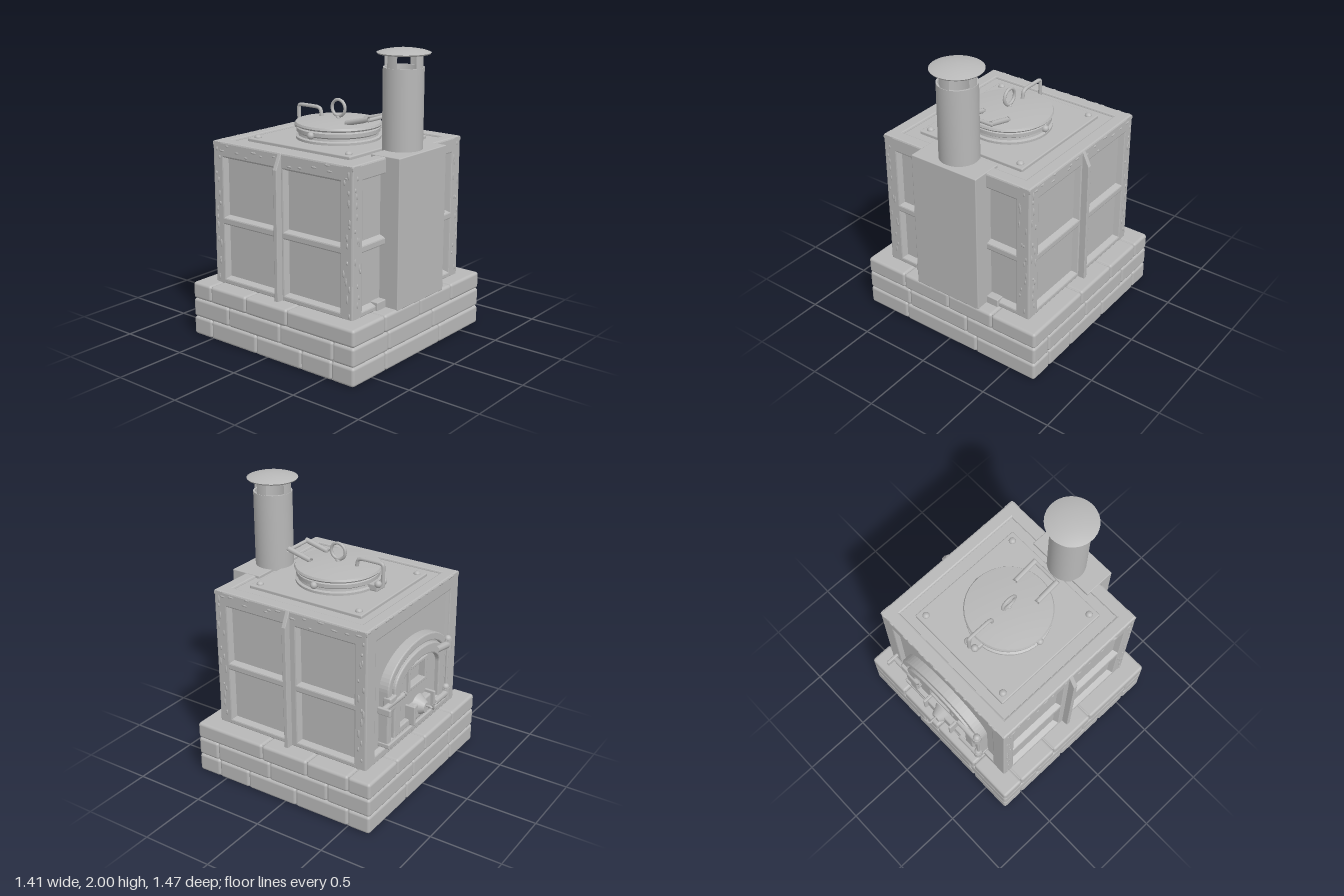
import * as THREE from 'three';
import { RoundedBoxGeometry } from 'three/addons/geometries/RoundedBoxGeometry.js';
import { toCreasedNormals } from 'three/addons/utils/BufferGeometryUtils.js';

const V = (x, y, z) => new THREE.Vector3(x, y, z);

export function createModel() {
  const model = new THREE.Group();
  model.name = 'stove';
  const grey = new THREE.MeshStandardMaterial({ color: 0xb8b8b8, side: THREE.DoubleSide });
  grey.name = 'plain grey';

  let seed = 7;
  const rand = () => (seed = (seed * 16807) % 2147483647) / 2147483647;

  const add = (name, geo, x = 0, y = 0, z = 0, parent = model) => {
    const m = new THREE.Mesh(geo, grey);
    m.name = name;
    m.position.set(x, y, z);
    parent.add(m);
    return m;
  };
  // box given by its limits, with optional rounded edges
  const box = (name, x0, x1, y0, y1, z0, z1, r = 0, parent = model) => {
    const s = [x1 - x0, y1 - y0, z1 - z0];
    const g = r ? new RoundedBoxGeometry(...s, 2, r) : new THREE.BoxGeometry(...s);
    return add(name, g, (x0 + x1) / 2, (y0 + y1) / 2, (z0 + z1) / 2, parent);
  };
  const ball = (name, r, x, y, z, parent) => add(name, new THREE.SphereGeometry(r, 12, 8), x, y, z, parent);
  const rod = (name, pts, r, parent) => {
    const curve = new THREE.CatmullRomCurve3(pts.map(p => V(...p)), false, 'catmullrom', 0.2);
    return add(name, new THREE.TubeGeometry(curve, pts.length * 6, r, 8), 0, 0, 0, parent);
  };
  const lathe = (name, pts, x, z) => add(name, toCreasedNormals(
    new THREE.LatheGeometry(pts.map(p => new THREE.Vector2(...p)), 40), 0.7), x, 0, z);
  const rect = (T, x0, x1, y0, y1) => {
    const s = new T();
    s.moveTo(x0, y0); s.lineTo(x1, y0); s.lineTo(x1, y1); s.lineTo(x0, y1); s.closePath();
    return s;
  };
  const extrude = (shape, depth, b = 0.012) => new THREE.ExtrudeGeometry(shape, {
    depth: depth - 2 * b, curveSegments: 16, bevelEnabled: true, bevelThickness: b,
    bevelSize: b, bevelOffset: -b, bevelSegments: 2 }).translate(0, 0, b);
  // sunken panel: sloping walls from the outer rectangle down to a smaller flat floor
  const pan = ([a0, a1, b0, b1], inset, top, depth) => {
    const z = top - depth, n = inset;
    const g = new THREE.BufferGeometry();
    g.setAttribute('position', new THREE.Float32BufferAttribute([
      a0, b0, top, a1, b0, top, a1, b1, top, a0, b1, top,
      a0 + n, b0 + n, z, a1 - n, b0 + n, z, a1 - n, b1 - n, z, a0 + n, b1 - n, z], 3));
    const index = [4, 5, 6, 4, 6, 7];
    for (let i = 0; i < 4; i++) {
      const j = (i + 1) % 4;
      index.push(i, j, 4 + j, i, 4 + j, 4 + i);
    }
    g.setIndex(index);
    return toCreasedNormals(g, 0.5);
  };

  // ---- brick plinth: three staggered courses round a solid core
  const plinth = new THREE.Group();
  plinth.name = 'brickPlinth';
  model.add(plinth);
  box('plinthCore', -0.685, 0.685, 0, 0.368, -0.65, 0.71, 0, plinth);
  const courses = [
    { y0: 0, y1: 0.129, cuts: [-0.704, -0.37, 0.23, 0.704], side: [-0.667, -0.5, -0.09, 0.3, 0.55, 0.727] },
    { y0: 0.129, y1: 0.259, cuts: [-0.704, -0.57, -0.34, 0.15, 0.54, 0.704], side: [-0.667, -0.34, 0.12, 0.56, 0.727] },
    { y0: 0.259, y1: 0.376, cuts: [-0.704, -0.38, 0, 0.36, 0.704], side: [-0.667, -0.5, -0.18, 0.18, 0.6, 0.727] },
  ];
  for (const { y0, y1, cuts, side } of courses) {
    for (let i = 1; i < cuts.length; i++)
      for (const [z0, z1] of [[-0.667, -0.5], [0.56, 0.727]])
        box('brick', cuts[i - 1], cuts[i], y0, y1, z0, z1, 0.02, plinth);
    for (let i = 1; i < side.length; i++)
      for (const [x0, x1] of [[-0.704, -0.5], [0.5, 0.704]])
        box('brick', x0, x1, y0, y1, side[i - 1], side[i], 0.02, plinth);
  }

  // ---- body: inner core with frames and sunken panels on every side
  box('bodyCore', -0.52, 0.52, 0.36, 1.34, -0.52, 0.56);
  const side = (name, u0, u1, cols, rows, turn, x, z, depth, sink) => {
    const g = new THREE.Group();
    g.name = name;
    g.position.set(x, 0, z);
    g.rotation.y = turn;
    model.add(g);
    const s = rect(THREE.Shape, u0, u1, 0.37, 1.35);
    for (const c of cols) for (const r of rows) {
      s.holes.push(rect(THREE.Path, ...c, ...r));
      add('panel', pan([...c, ...r], 0.012, depth - 0.01, sink - 0.01), 0, 0, 0, g);
    }
    add('frame', extrude(s, depth, 0.01), 0, 0, 0, g);
  };
  const rows = [[0.41, 0.79], [0.84, 1.25]];
  side('leftSide', -0.62, 0.56, [[-0.52, -0.06], [0.03, 0.47]], rows, Math.PI / 2, 0.5, 0, 0.082, 0.04);
  side('rightSide', -0.56, 0.62, [[-0.47, -0.03], [0.06, 0.52]], rows, -Math.PI / 2, -0.5, 0, 0.082, 0.04);
  side('frontSide', -0.582, 0.582, [[-0.48, -0.24], [0.24, 0.48]], rows, 0, 0, 0.54, 0.08, 0.04);
  side('doorSide', -0.582, 0.582, [[-0.47, 0.47]], [[0.43, 1.25]], Math.PI, 0, -0.48, 0.08, 0.03);

  // upright fins in the middle of the two sides
  const fin = new THREE.Shape([[0.5, 0.37], [0.63, 0.37], [0.63, 1.25], [0.582, 1.35], [0.5, 1.35]]
    .map(p => new THREE.Vector2(...p)));
  for (const turn of [0, Math.PI]) {
    const m = add('sideFin', extrude(fin, 0.03, 0.004), 0, 0, turn ? 0.045 : 0.015);
    m.rotation.y = turn;
  }

  // top rim, raised plate and bolts
  const rim = rect(THREE.Shape, -0.582, 0.582, -0.62, 0.56);
  rim.holes.push(rect(THREE.Path, -0.49, 0.49, -0.53, 0.47));
  add('topRim', extrude(rim, 0.04), 0, 1.315, 0).rotation.x = -Math.PI / 2;
  box('topPlate', -0.41, 0.41, 1.32, 1.362, -0.41, 0.46, 0.008);
  for (const x of [-0.36, 0.36]) for (const z of [-0.36, 0.41])
    add('plateBolt', new THREE.SphereGeometry(0.025, 10, 6), x, 1.362, z).scale.y = 0.8;

  // rough weld beads along the frame edges
  const beads = new THREE.Group();
  beads.name = 'weldBeads';
  model.add(beads);
  const bead = (x, y, z, axis) => {
    const m = add('weldBead', new THREE.SphereGeometry(0.009, 6, 4), x, y, z, beads);
    m.scale[axis] = 1.5 + rand() * 2.5;
  };
  for (let i = 0; i < 14; i++) {
    const t = () => (i + rand()) / 14;
    for (const s of [-1, 1]) {
      bead(s * 0.58, 0.4 + t() * 0.92, 0.55 + rand() * 0.05, 'y');
      bead(s * 0.58, 0.4 + t() * 0.92, -0.5 - rand() * 0.04, 'y');
      bead(s * 0.578, 1.27 + rand() * 0.07, -0.54 + t() * 1.14, 'z');
      bead(s * (0.5 + rand() * 0.06), 0.42 + t() * 0.9, 0.616, 'y');
    }
    bead(-0.56 + t() * 1.12, 1.345, -0.557, 'x');
  }

  // ---- flue column and chimney
  box('flueColumn', -0.255, 0.255, 0.37, 1.36, 0.5, 0.725, 0.006);
  for (const s of [-1, 1]) box('columnFoot', s * 0.3 - 0.045, s * 0.3 + 0.045, 0.37, 0.43, 0.57, 0.635, 0.006);
  lathe('chimneyPipe', [[0.131, 1.35], [0.131, 1.88], [0.118, 1.88], [0.118, 1.6], [0, 1.6]], 0, 0.56);
  for (let i = 0; i < 4; i++)
    add('capPost', new THREE.CylinderGeometry(0.128, 0.128, 0.1, 6, 1, true, i * Math.PI / 2 - 0.3, 0.6), 0, 1.925, 0.56);
  lathe('chimneyCap', [[0, 1.965], [0.165, 1.963], [0.172, 1.972], [0.14, 1.983], [0.08, 1.994], [0, 2]], 0, 0.56);

  // ---- round lid with ring, hinge arms and clamp
  const lz = 0.035;
  lathe('lidSeat', [[0.285, 1.35], [0.285, 1.378], [0.268, 1.385], [0.265, 1.4], [0.28, 1.41], [0.28, 1.435], [0.265, 1.445], [0, 1.445]], 0, lz);
  lathe('lid', [[0.26, 1.445], [0.285, 1.448], [0.292, 1.458], [0.285, 1.472], [0.2, 1.482], [0.1, 1.488], [0, 1.49]], 0, lz);
  for (const x of [-0.285, 0.285]) ball('lidLug', 0.024, x, 1.415, lz);
  add('liftRing', new THREE.TorusGeometry(0.055, 0.011, 8, 28), 0, 1.558, lz).rotation.y = Math.PI / 2;
  ball('ringBoss', 0.018, 0, 1.49, lz);
  rod('clampBar', [[0, 1.48, -0.11], [0, 1.53, -0.12], [0, 1.543, -0.15], [0, 1.543, -0.29], [0, 1.53, -0.312], [0, 1.4, -0.312]], 0.013);
  for (const x of [-0.032, 0.032]) ball('clampLug', 0.025, x, 1.41, -0.295);
  box('clampBlock', -0.05, 0.05, 1.36, 1.41, -0.3, -0.23, 0.01);
  for (const x of [-0.1, 0.1]) rod('lidArm', [[x, 1.488, 0.18], [x, 1.535, 0.365]], 0.018);
  rod('lidArmHandle', [[-0.115, 1.528, 0.36], [0.115, 1.528, 0.36]], 0.013);

  // ---- arched fire door
  const door = new THREE.Group();
  door.name = 'fireDoor';
  model.add(door);
  const arch = (T, w, y0, spring, top) => {
    const s = new T();
    s.moveTo(-w, y0); s.lineTo(w, y0); s.lineTo(w, spring);
    s.absellipse(0, spring, w, top - spring, 0, Math.PI, false, 0);
    s.closePath();
    return s;
  };
  const archRing = (name, outer, inner, z0, z1) => {
    const s = arch(THREE.Shape, ...outer);
    s.holes.push(arch(THREE.Path, ...inner));
    add(name, extrude(s, z1 - z0, 0.008), 0, 0, z0, door);
  };
  archRing('doorSurround', [0.385, 0.46, 0.86, 1.09], [0.335, 0.5, 0.85, 1.035], -0.6, -0.52);
  const leaf = arch(THREE.Shape, 0.34, 0.5, 0.85, 1.04);
  leaf.holes.push(rect(THREE.Path, -0.085, 0.105, 0.775, 0.905));
  add('doorLeaf', extrude(leaf, 0.05, 0.006), 0, 0, -0.582, door);
  box('windowBack', -0.1, 0.12, 0.76, 0.92, -0.55, -0.54, 0, door);
  archRing('doorBand', [0.325, 0.51, 0.85, 1.025], [0.25, 0.56, 0.82, 0.955], -0.614, -0.57);
  const pane = rect(THREE.Shape, -0.11, 0.13, 0.75, 0.93);
  pane.holes.push(rect(THREE.Path, -0.085, 0.105, 0.775, 0.905));
  add('windowFrame', extrude(pane, 0.03, 0.005), 0, 0, -0.6, door);
  box('doorSill', -0.39, 0.39, 0.455, 0.49, -0.615, -0.52, 0.008, door);

  // air vent with hooked knob
  box('airVent', -0.13, 0.13, 0.53, 0.64, -0.63, -0.57, 0.015, door);
  for (const x of [-0.13, 0.13]) box('ventCheek', x - 0.01, x + 0.01, 0.52, 0.66, -0.655, -0.57, 0.006, door);
  add('ventBoss', new THREE.CylinderGeometry(0.035, 0.08, 0.07, 20), 0, 0.6, -0.63, door).rotation.x = -Math.PI / 2;
  rod('ventHook', [[0, 0.61, -0.64], [0, 0.615, -0.69], [0, 0.605, -0.712], [0.008, 0.62, -0.726], [0.015, 0.645, -0.724]], 0.008, door);

  // hinges on one side, latch on the other
  rod('hingePin', [[-0.375, 0.5, -0.605], [-0.375, 0.95, -0.605]], 0.01, door);
  for (const y of [0.53, 0.9]) {
    rod('hingeStrap', [[-0.38, y, -0.612], [-0.2, y + (y > 0.7 ? 0.03 : 0), -0.612]], 0.025, door);
    add('hingeBarrel', new THREE.CylinderGeometry(0.03, 0.03, 0.07, 12), -0.37, y, -0.608, door);
    ball('hingeCap', 0.026, -0.37, y + 0.04, -0.608, door);
  }
  rod('latchBar', [[0.2, 0.78, -0.61], [0.47, 0.78, -0.605]], 0.02, door);
  box('latchGrip', 0.46, 0.482, 0.755, 0.805, -0.672, -0.575, 0.008, door);
  box('latchKeeper', 0.31, 0.39, 0.73, 0.83, -0.622, -0.56, 0.012, door);
  return model;
}
